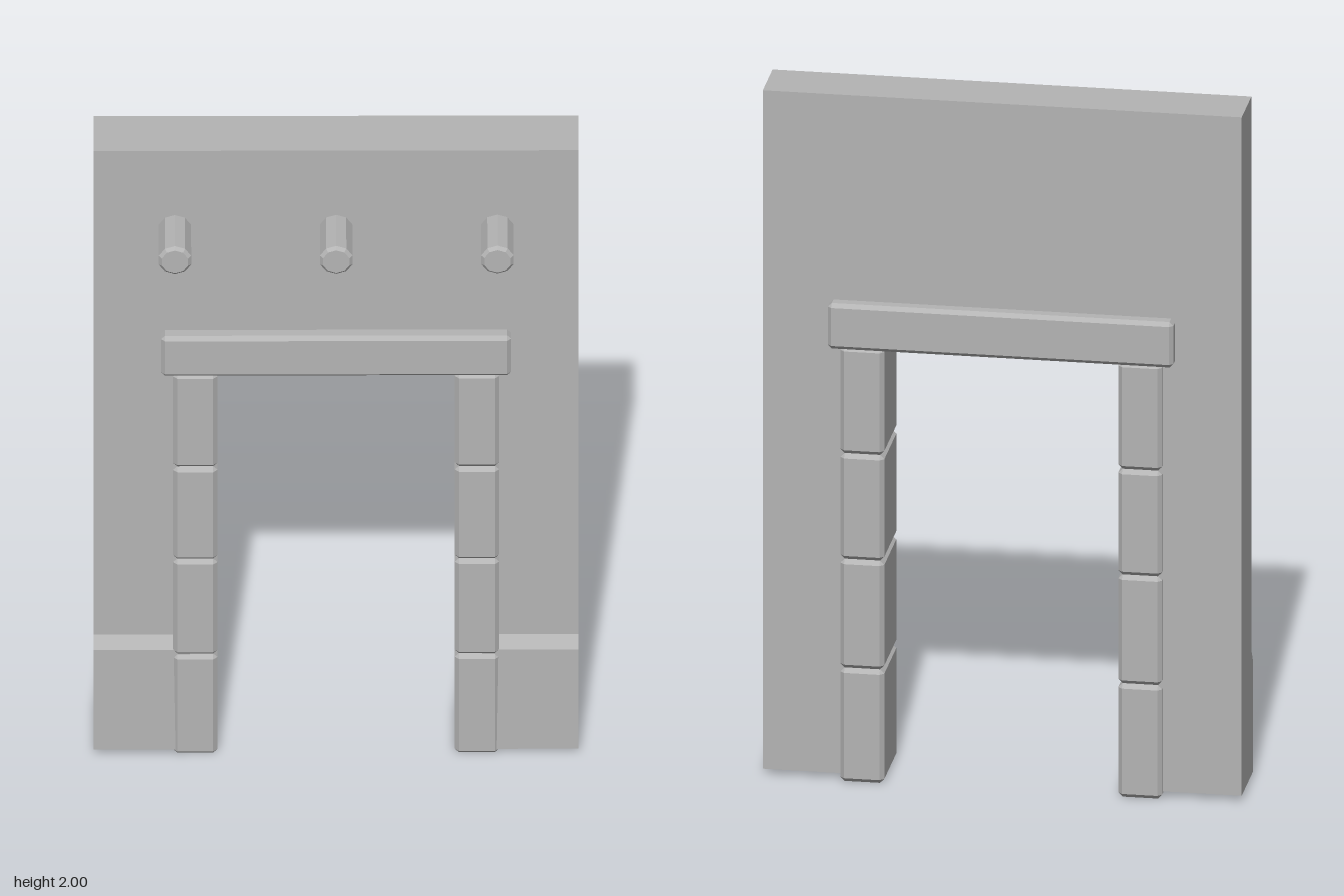
import * as THREE from 'three';
import { ConvexGeometry } from 'three/addons/geometries/ConvexGeometry.js';

// Box between two corners with chamfered edges
function chamferBox(x0, x1, y0, y1, z0, z1, c) {
  const points = [];
  for (const [x, sx] of [[x0, 1], [x1, -1]])
    for (const [y, sy] of [[y0, 1], [y1, -1]])
      for (const [z, sz] of [[z0, 1], [z1, -1]]) {
        points.push(new THREE.Vector3(x, y + sy * c, z + sz * c));
        points.push(new THREE.Vector3(x + sx * c, y, z + sz * c));
        points.push(new THREE.Vector3(x + sx * c, y + sy * c, z));
      }
  return new ConvexGeometry(points);
}

const shapeOf = (pts) => new THREE.Shape(pts.map(([x, y]) => new THREE.Vector2(x, y)));

export function createModel() {
  const model = new THREE.Group();
  model.name = 'doorwayWall';
  const stone = new THREE.MeshStandardMaterial({ color: 0xb4b4b4, flatShading: true });
  stone.name = 'grey stone';

  const add = (name, geometry) => {
    const mesh = new THREE.Mesh(geometry, stone);
    mesh.name = name;
    model.add(mesh);
    return mesh;
  };

  // Wall slab with the doorway cut out of its bottom edge
  const half = 0.665, door = 0.385, bottom = 0.016;
  const wall = new THREE.ExtrudeGeometry(shapeOf([
    [-half, bottom], [-door, bottom], [-door, 1.33], [door, 1.33],
    [door, bottom], [half, bottom], [half, 2], [-half, 2],
  ]), { depth: 0.166, bevelEnabled: false });
  wall.translate(0, 0, -0.143);
  add('wall', wall);

  // Lintel over the doorway
  add('lintel', chamferBox(-0.48, 0.48, 1.267, 1.4, -0.182, 0.062, 0.011));

  // Door jambs of four stacked blocks, and sloped plinths on the front
  const levels = [0.002, 0.332, 0.65, 0.959, 1.272];
  for (const side of [-1, 1]) {
    const label = side > 0 ? 'left' : 'right';
    for (let i = 0; i < 4; i++) {
      const a = side * 0.325, b = side * 0.447;
      add(label + 'JambBlock' + (i + 1), chamferBox(
        Math.min(a, b), Math.max(a, b), i ? levels[i] : 0, levels[i + 1],
        -0.171, 0.057, 0.012));
    }
    const plinth = new THREE.ExtrudeGeometry(shapeOf([
      [0, bottom], [0.052, bottom], [0.047, 0.345], [0.023, 0.38], [0, 0.38],
    ]), { depth: half - 0.4, bevelEnabled: false });
    plinth.rotateY(-Math.PI / 2); // profile now faces +z, depth runs along -x
    plinth.translate(side > 0 ? half : -0.4, 0, 0);
    add(label + 'Plinth', plinth);
  }

  // Pegs above the doorway, with chamfered tips
  const pegProfile = [[0.047, 0], [0.047, 0.171], [0.038, 0.18], [0, 0.18]]
    .map(([r, y]) => new THREE.Vector2(r, y));
  for (const x of [-0.442, 0, 0.442]) {
    const peg = new THREE.LatheGeometry(pegProfile, 10);
    peg.rotateX(Math.PI / 2);
    add('peg', peg).position.set(x, 1.738, 0);
  }

  return model;
}
